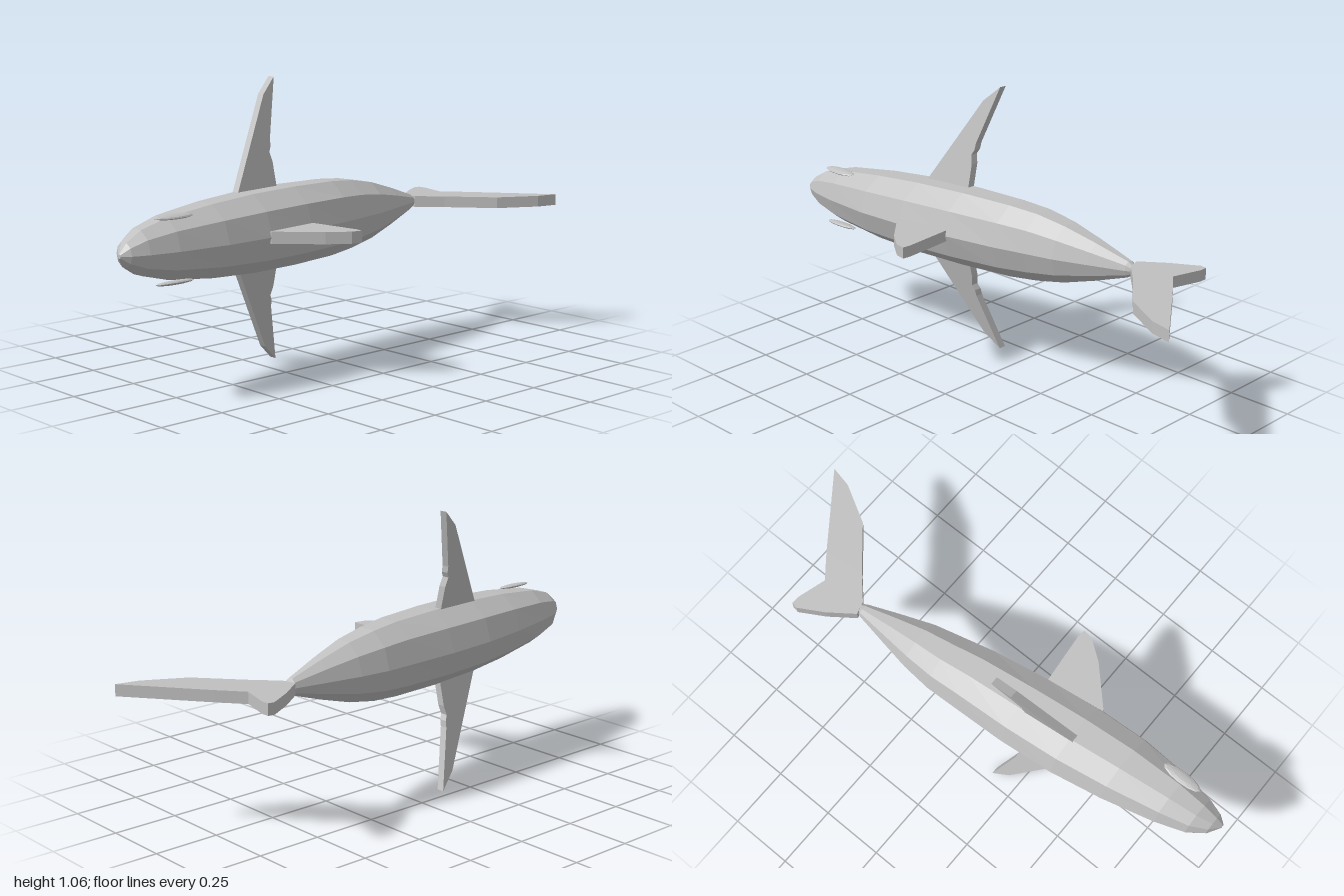
import * as THREE from 'three';

const MID = 0.531; // height of the body axis

const outline = (pts) => new THREE.Shape(pts.map(([x, y]) => new THREE.Vector2(x, y)));

// Body: ten-sided cross-sections swept along x, [x, zMin, zMax, half height]
function bodyGeometry() {
  const rings = [
    [-1, 0.03, 0.045, 0.008], [-0.97, -0.02, 0.068, 0.042], [-0.91, -0.065, 0.088, 0.077],
    [-0.8, -0.105, 0.106, 0.106], [-0.6, -0.158, 0.117, 0.129], [-0.4, -0.197, 0.105, 0.141],
    [-0.185, -0.22, 0.075, 0.144], [0.03, -0.23, 0.034, 0.14], [0.15, -0.235, 0.003, 0.13],
    [0.27, -0.225, -0.027, 0.109], [0.4, -0.203, -0.075, 0.072], [0.53, -0.18, -0.125, 0.03],
    [0.558, -0.163, -0.14, 0.012],
  ];
  const sides = 10, pos = [], index = [];
  for (const [x, z0, z1, h] of rings) {
    for (let j = 0; j < sides; j++) {
      const t = (j / sides) * Math.PI * 2;
      pos.push(x, MID + (h / 0.951) * Math.sin(t), (z0 + z1) / 2 + ((z1 - z0) / 2) * Math.cos(t));
    }
  }
  for (let i = 0; i < rings.length - 1; i++) {
    for (let j = 0; j < sides; j++) {
      const a = i * sides + j, c = i * sides + ((j + 1) % sides);
      index.push(a, a + sides, c, c, a + sides, c + sides);
    }
  }
  // nose and tail caps
  const last = (rings.length - 1) * sides;
  for (let j = 1; j < sides - 1; j++) {
    index.push(0, j, j + 1, last, last + j + 1, last + j);
  }
  const g = new THREE.BufferGeometry();
  g.setAttribute('position', new THREE.Float32BufferAttribute(pos, 3));
  g.setIndex(index);
  g.computeVertexNormals();
  return g;
}

// Flat fin drawn in the x-z plane and given thickness in y
function flatFin(pts, thickness) {
  const g = new THREE.ExtrudeGeometry(outline(pts.map(([x, z]) => [x, -z])), { depth: thickness, bevelEnabled: false });
  g.rotateX(-Math.PI / 2);
  g.translate(0, MID - thickness / 2, 0);
  return g;
}

// Side fin drawn in the x-y plane, swept back in z with distance from the body
function sideFin(side) {
  const pts = [[-0.45, 0.09], [-0.41, 0.145], [-0.21, 0.47], [-0.142, 0.53], [-0.212, 0.31],
    [-0.214, 0.285], [-0.225, 0.265], [-0.216, 0.23], [-0.215, 0.145], [-0.22, 0.09]];
  const g = new THREE.ExtrudeGeometry(outline(pts.map(([x, y]) => [x, y * side])), { depth: 0.03, bevelEnabled: false });
  const p = g.attributes.position;
  for (let i = 0; i < p.count; i++) {
    const x = p.getX(i), y = Math.abs(p.getY(i));
    p.setZ(i, p.getZ(i) - 0.118 - 0.11 * (x + 0.22) - 0.23 * (y - 0.145));
  }
  g.computeVertexNormals();
  g.translate(0, MID, 0);
  return g;
}

export function createModel() {
  const model = new THREE.Group();
  const grey = new THREE.MeshStandardMaterial({ color: 0xc0c0c0, flatShading: true });
  grey.name = 'grey';
  const add = (name, geometry) => {
    const mesh = new THREE.Mesh(geometry, grey);
    mesh.name = name;
    model.add(mesh);
    return mesh;
  };

  add('body', bodyGeometry());

  add('dorsalFin', flatFin([[-0.42, 0.05], [-0.405, 0.105], [-0.275, 0.24], [-0.2, 0.295],
    [-0.158, 0.303], [-0.155, 0.27], [-0.175, 0.08], [-0.18, 0.03]], 0.043));

  add('tailFin', flatFin([[0.535, -0.185], [0.63, -0.255], [0.725, -0.31], [0.75, -0.306], [0.75, -0.275],
    [0.718, -0.16], [0.79, -0.07], [1, 0.212], [0.915, 0.193], [0.765, 0.11], [0.63, -0.05],
    [0.55, -0.135]], 0.043));

  // side fins and eyes, mirrored across the body axis
  for (const [label, side] of [['upper', 1], ['lower', -1]]) {
    add(label + 'SideFin', sideFin(side));
    const eye = add(label + 'Eye', new THREE.SphereGeometry(1, 12, 6));
    eye.scale.set(0.08, 0.008, 0.024);
    eye.position.set(-0.79, MID + side * 0.112, 0.057);
    eye.rotation.x = side * 0.15;
  }
  return model;
}
